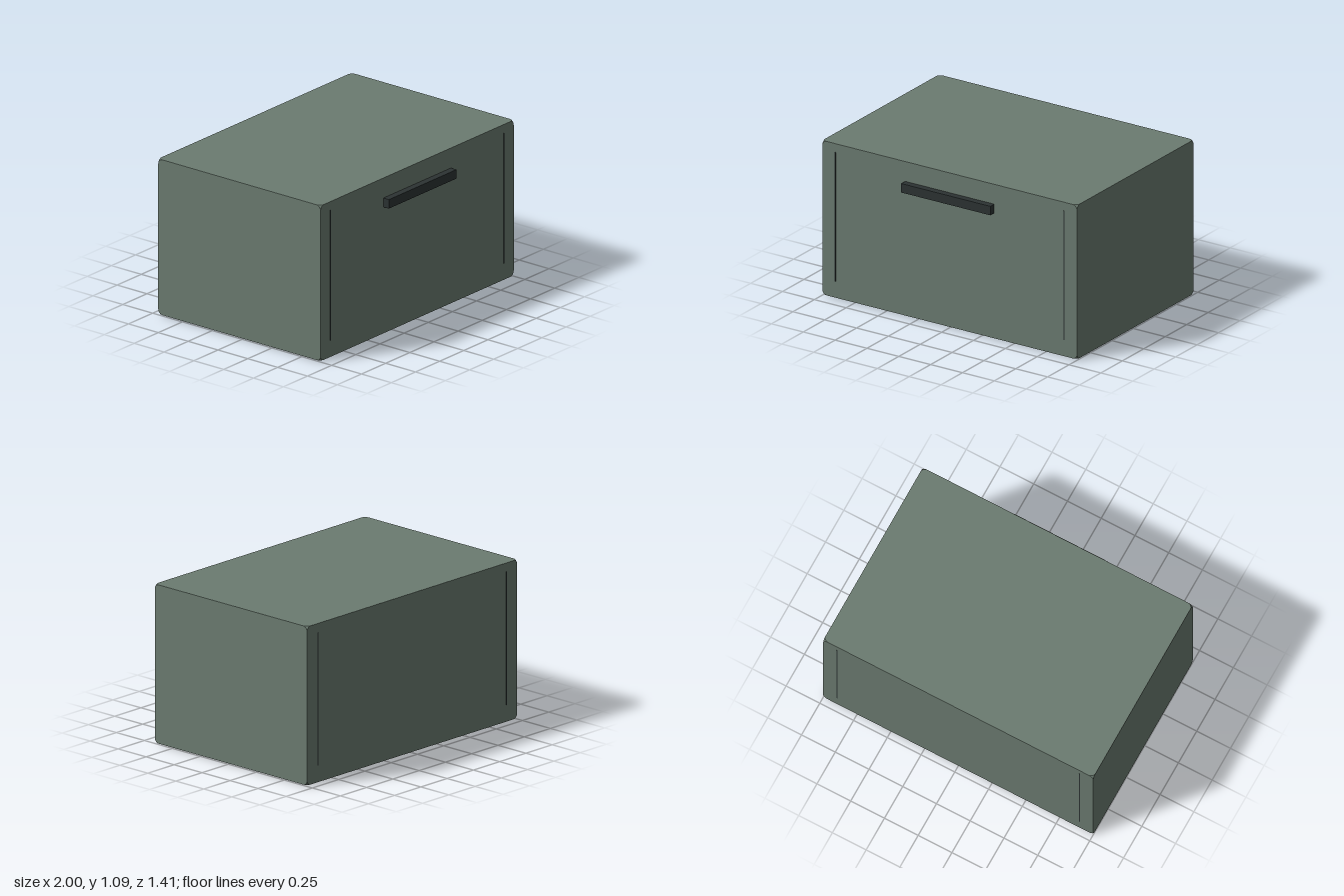
import * as THREE from 'three';
import { ConvexGeometry } from 'three/addons/geometries/ConvexGeometry.js';

// Box with sharp edges whose eight corners are softly rounded off
function softCornerBox(w, h, d, r, steps = 5) {
  const half = [w / 2, h / 2, d / 2];
  const points = [];
  for (const sx of [-1, 1]) for (const sy of [-1, 1]) for (const sz of [-1, 1]) {
    const sign = [sx, sy, sz];
    for (let axis = 0; axis < 3; axis++) {
      const a = (axis + 1) % 3, b = (axis + 2) % 3;
      // a quarter arc lying on the face across this axis
      for (let i = 0; i < steps; i++) {
        const t = (i / steps) * Math.PI / 2;
        const p = [0, 0, 0];
        p[axis] = sign[axis] * half[axis];
        p[a] = sign[a] * (half[a] - r + r * Math.cos(t));
        p[b] = sign[b] * (half[b] - r + r * Math.sin(t));
        points.push(new THREE.Vector3(...p));
      }
    }
  }
  return new ConvexGeometry(points);
}

export function createModel() {
  const model = new THREE.Group();
  model.name = 'storageBox';

  const green = new THREE.MeshStandardMaterial({ color: 0x6b7b70 });
  green.name = 'sage green';
  const dark = new THREE.MeshStandardMaterial({ color: 0x2c3333 });
  dark.name = 'dark slate';

  const add = (name, geometry, material, x, y, z) => {
    const mesh = new THREE.Mesh(geometry, material);
    mesh.name = name;
    mesh.position.set(x, y, z);
    model.add(mesh);
    return mesh;
  };

  // Main body, with a thin base plate under it
  const front = 0.657, back = -0.703, bottom = 0.006, top = 1.09;
  const depth = front - back, midZ = (front + back) / 2;
  add('body', softCornerBox(2, top - bottom, depth, 0.035), green, 0, (top + bottom) / 2, midZ);
  add('basePlate', new THREE.BoxGeometry(1.9, 0.008, depth - 0.1), green, 0, 0.004, midZ);

  // Pull handle on the front
  add('handle', new THREE.BoxGeometry(0.7, 0.063, 0.056), dark, 0, 0.919, 0.675);

  // Upright seams near the sides, front and back
  const seam = new THREE.BoxGeometry(0.007, 0.91, 0.004);
  for (const [face, z] of [['front', front], ['back', back]]) {
    for (const [side, x] of [['Left', 0.898], ['Right', -0.898]]) {
      add(`${face}${side}Seam`, seam, dark, x, 0.575, z);
    }
  }

  return model;
}
